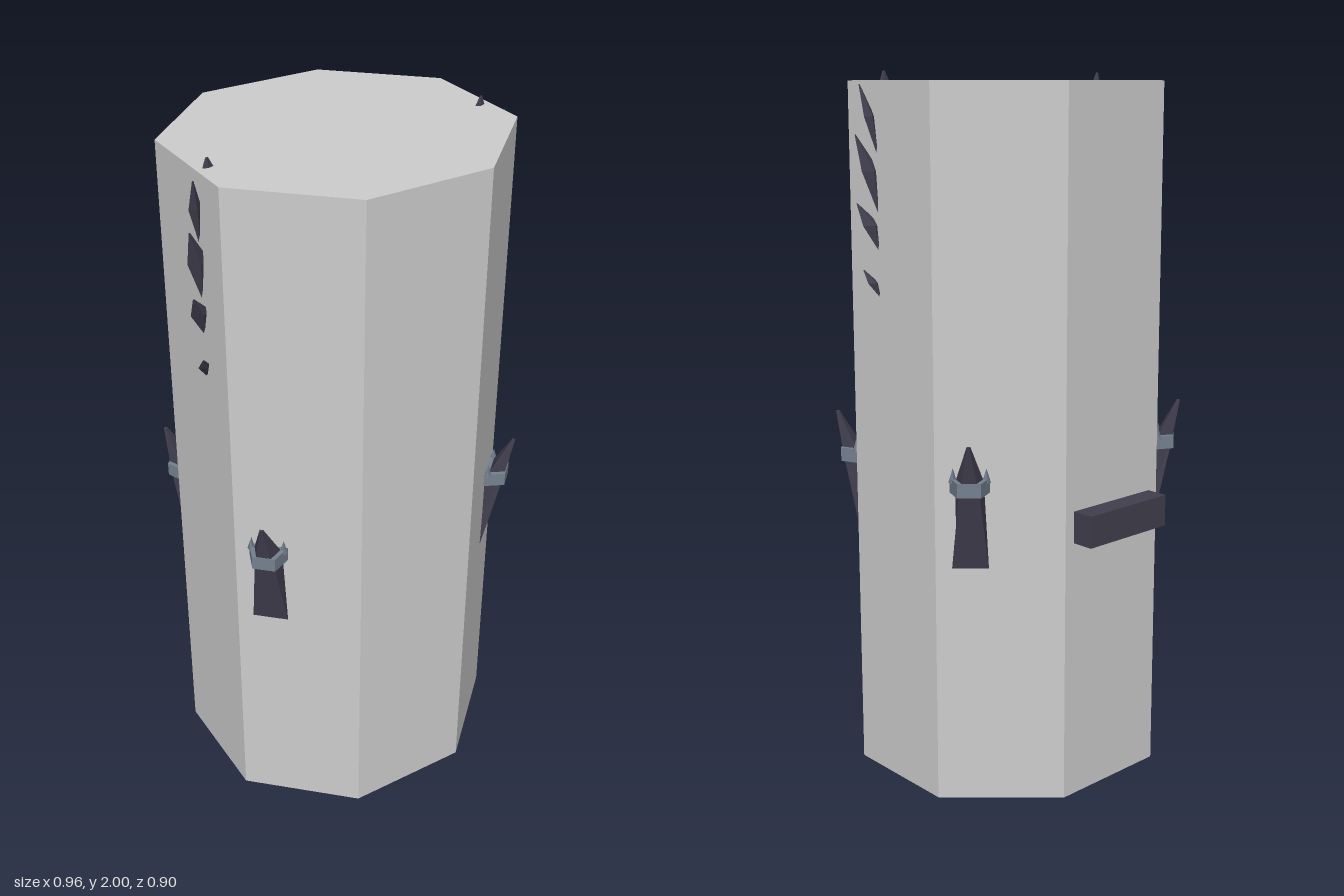
import * as THREE from 'three';

// Flat-shaded solid through rings of [x, y, z] points; rings run anticlockwise seen from +y, bottom ring first.
function loft(rings) {
  const pos = [];
  const tri = (a, b, c) => pos.push(...a, ...b, ...c);
  const n = rings[0].length;
  for (let r = 0; r < rings.length - 1; r++) {
    for (let i = 0; i < n; i++) {
      const j = (i + 1) % n;
      const [a, b, c, d] = [rings[r][i], rings[r][j], rings[r + 1][j], rings[r + 1][i]];
      tri(a, b, c);
      tri(a, c, d);
    }
  }
  const bottom = rings[0], top = rings[rings.length - 1];
  for (let i = 1; i < n - 1; i++) {
    tri(bottom[0], bottom[i + 1], bottom[i]);
    tri(top[0], top[i], top[i + 1]);
  }
  const g = new THREE.BufferGeometry();
  g.setAttribute('position', new THREE.Float32BufferAttribute(pos, 3));
  g.computeVertexNormals();
  return g;
}

// Trapezoid ring at height y: wide inner edge at depth z0, narrower outer edge at depth z1.
const trapezoid = (y, z0, halfInner, z1, halfOuter) => [
  [-halfInner, y, z0], [-halfOuter, y, z1], [halfOuter, y, z1], [halfInner, y, z0],
];

// Small diamond ring, used for the side quills.
const diamond = (x, y, z, rx, rz) => [
  [x + rx, y, z], [x, y, z - rz], [x - rx, y, z], [x, y, z + rz],
];

export function createModel() {
  const model = new THREE.Group();
  const stone = new THREE.MeshStandardMaterial({ color: 0xcdcdcd });
  stone.name = 'pale grey';
  const dark = new THREE.MeshStandardMaterial({ color: 0x413f4e });
  dark.name = 'dark slate';
  const steel = new THREE.MeshStandardMaterial({ color: 0x74818f });
  steel.name = 'blue grey';
  const add = (parent, name, geometry, material) => {
    const mesh = new THREE.Mesh(geometry, material);
    mesh.name = name;
    parent.add(mesh);
    return mesh;
  };

  // Octagonal pillar, tapering very slightly upwards
  const CZ = 0.03;
  const octagon = (y, s) => [
    [0.442, 0.175], [0.442, -0.175], [0.183, -0.418], [-0.183, -0.418],
    [-0.442, -0.175], [-0.442, 0.175], [-0.183, 0.418], [0.183, 0.418],
  ].map(([x, z]) => [x * s, y, CZ + z * s]);
  add(model, 'pillar', loft([octagon(0, 1), octagon(1.975, 0.985)]), stone);

  // Bar on the back
  add(model, 'backBar', new THREE.BoxGeometry(0.3, 0.09, 0.09), dark)
    .position.set(0, 0.795, -0.405);

  // Spikes with cuffs, one on each diagonal face (local +z points out of the face)
  const lowerSpike = loft([
    trapezoid(0.685, -0.05, 0.05, 0.0, 0.05),
    trapezoid(0.91, -0.05, 0.05, 0.048, 0.027),
  ]);
  const upperSpike = loft([
    trapezoid(0.92, 0.0, 0.042, 0.05, 0.024),
    trapezoid(1.043, 0.064, 0.005, 0.073, 0.003),
  ]);
  const cuff = loft([
    trapezoid(0.9, -0.03, 0.065, 0.056, 0.032),
    trapezoid(0.94, -0.03, 0.065, 0.056, 0.032),
  ]);
  const prong = new THREE.ConeGeometry(0.012, 0.04, 4);
  for (const sx of [1, -1]) {
    for (const sz of [1, -1]) {
      const mount = new THREE.Group();
      mount.name = (sz > 0 ? 'front' : 'back') + (sx > 0 ? 'Left' : 'Right') + 'Spike';
      mount.position.set(sx * 0.371, 0, CZ + sz * 0.24);
      mount.rotation.y = Math.atan2(sx * 0.243, sz * 0.259);
      add(mount, 'lowerSpike', lowerSpike, dark);
      add(mount, 'upperSpike', upperSpike, dark);
      add(mount, 'cuff', cuff, steel);
      for (const s of [1, -1]) {
        add(mount, 'cuffProng', prong, steel).position.set(s * 0.045, 0.95, 0.008);
      }
      model.add(mount);
    }
  }

  // Rows of quills leaning out of the two side faces: base height, tip height, tip reach
  const quills = [[1.78, 1.965, 0.462], [1.625, 1.835, 0.479], [1.525, 1.655, 0.479], [1.4, 1.475, 0.462]];
  for (const side of [1, -1]) {
    const row = new THREE.Group();
    row.name = side > 0 ? 'leftQuills' : 'rightQuills';
    for (const [y0, y1, reach] of quills) {
      const h = y1 - y0;
      const k = side > 0 ? 0 : Math.PI;
      const rings = [
        diamond(0.432, y0, 0.08, 0.002, 0.002),
        diamond(0.447, y0 + h * 0.55, 0.094, (reach - 0.437) * 0.7, 0.014),
        diamond(reach - 0.002, y1, 0.118, 0.002, 0.002),
      ];
      // mirror across x and reverse the ring order to keep faces outward
      const shape = k === 0 ? rings : rings.map((r) => r.map(([x, y, z]) => [-x, y, z]).reverse());
      add(row, 'quill', loft(shape), dark);
    }
    // Quill tip poking through the top
    const tip = [diamond(0.4, 1.95, 0.084, 0.026, 0.008), diamond(0.404, 2, 0.084, 0.004, 0.003)];
    add(row, 'topQuill', loft(tip.map((r) => (side > 0 ? r : r.map(([x, y, z]) => [-x, y, z]).reverse()))), dark);
    model.add(row);
  }
  return model;
}
